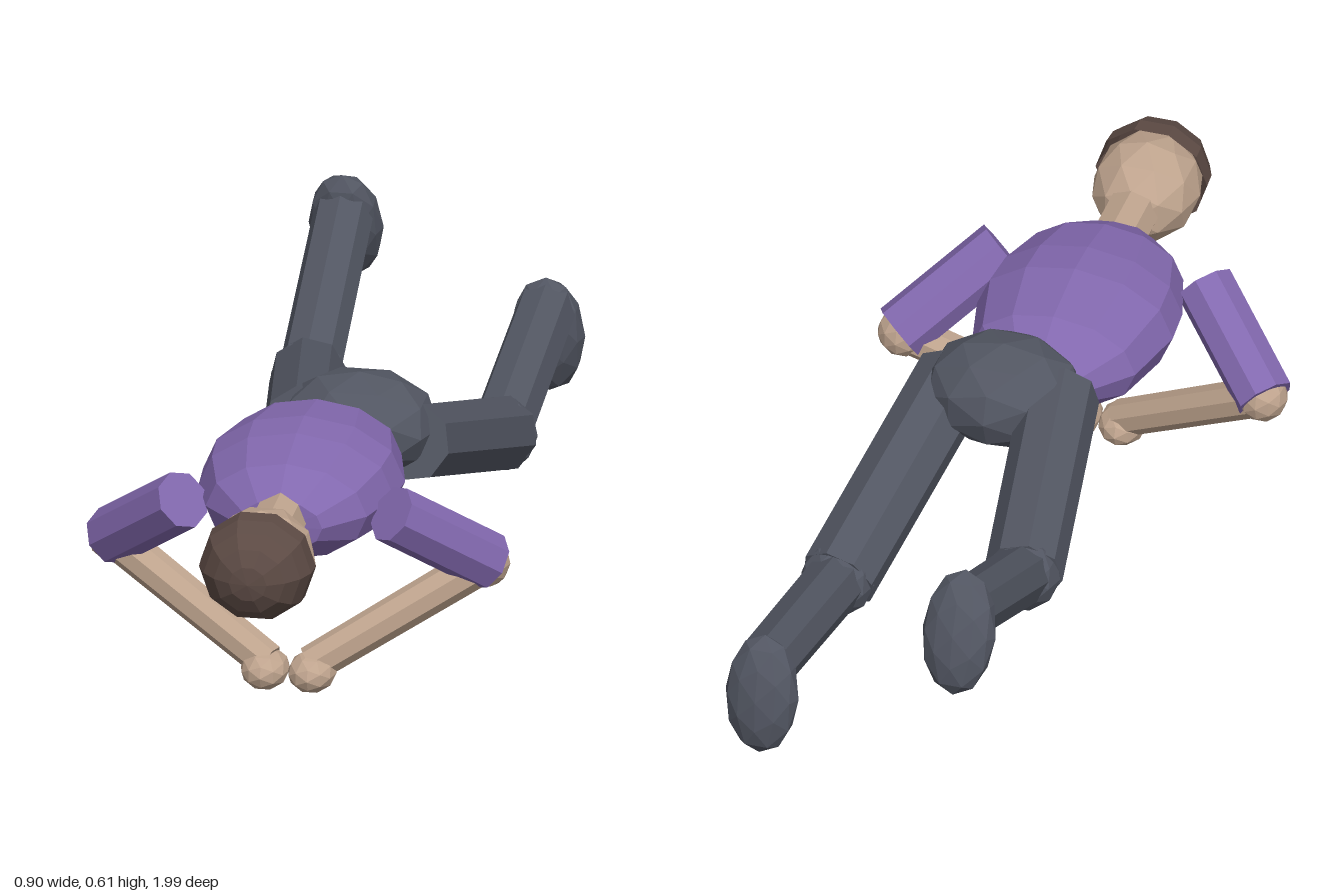
import * as THREE from 'three';

const mat = (name, color) => {
  const m = new THREE.MeshStandardMaterial({ color, flatShading: true });
  m.name = name;
  return m;
};

export function createModel() {
  const model = new THREE.Group();
  model.name = 'proneFigure';
  const skin = mat('skin', 0xbfa48e);
  const shirt = mat('purple shirt', 0x8268ae);
  const trousers = mat('dark grey trousers', 0x525662);
  const hairColor = mat('brown hair', 0x5c4a44);
  const eyeColor = mat('dark eyes', 0x33261f);

  const add = (name, geometry, material) => {
    const mesh = new THREE.Mesh(geometry, material);
    mesh.name = name;
    model.add(mesh);
    return mesh;
  };

  // Faceted ellipsoid with given centre and radii
  const ball = (name, material, center, radii, tiltX = 0) => {
    const geometry = new THREE.IcosahedronGeometry(1, 1).scale(...radii);
    const mesh = add(name, geometry, material);
    mesh.position.set(...center);
    mesh.rotation.x = tiltX;
    return mesh;
  };

  // Straight faceted limb between two points
  const limb = (name, material, from, to, r0, r1 = r0) => {
    const a = new THREE.Vector3(...from);
    const b = new THREE.Vector3(...to);
    const mesh = add(name, new THREE.CylinderGeometry(r1, r0, a.distanceTo(b), 8), material);
    mesh.position.copy(a).add(b).multiplyScalar(0.5);
    mesh.quaternion.setFromUnitVectors(new THREE.Vector3(0, 1, 0), b.sub(a).normalize());
    return mesh;
  };

  // Torso: rounded barrel lying along z, flattened in height
  const profile = [[0, 0.07], [0.10, 0.09], [0.18, 0.18], [0.215, 0.33], [0.208, 0.42],
    [0.172, 0.54], [0.092, 0.625], [0, 0.632]].map(([r, z]) => new THREE.Vector2(r, z));
  const torso = new THREE.LatheGeometry(profile, 12).rotateX(Math.PI / 2).scale(1, 0.62, 1);
  add('torso', torso, shirt).position.y = 0.412;

  // Head, neck and hair; the face looks down
  limb('neck', skin, [0, 0.422, 0.58], [0, 0.422, 0.75], 0.058);
  ball('head', skin, [0, 0.418, 0.835], [0.116, 0.112, 0.135]);
  const cap = new THREE.SphereGeometry(0.123, 10, 5, 0, Math.PI * 2, 0, Math.PI * 0.53);
  cap.rotateX(Math.PI / 2).scale(1, 0.96, 1);
  add('hair', cap, hairColor).position.set(0, 0.424, 0.875);
  hairColor.side = THREE.DoubleSide;

  // Hips
  ball('hips', trousers, [0.065, 0.42, 0.04], [0.17, 0.115, 0.145]);

  // Mirrored eyes and arms
  for (const [side, s] of [['left', 1], ['right', -1]]) {
    ball(side + 'Eye', eyeColor, [s * 0.042, 0.316, 0.845], [0.013, 0.009, 0.013]);
    const elbow = [s * 0.395, 0.265, 0.385];
    limb(side + 'Sleeve', shirt, [s * 0.222, 0.418, 0.53], [s * 0.402, 0.265, 0.38], 0.063);
    ball(side + 'Elbow', skin, elbow, [0.054, 0.054, 0.054]);
    limb(side + 'Forearm', skin, elbow, [s * 0.045, 0.055, 0.505], 0.043, 0.04);
    ball(side + 'Hand', skin, [s * 0.05, 0.043, 0.51], [0.052, 0.043, 0.066]);
  }

  // Legs, each with its own pose
  const legs = [
    { side: 'left', hip: [0.185, 0.4, 0.08], knee: [0.275, 0.217, -0.45],
      ankle: [0.287, 0.312, -0.93], foot: [0.287, 0.25, -0.94], tilt: 0.16 },
    { side: 'right', hip: [-0.053, 0.415, 0.06], knee: [-0.133, 0.318, -0.45],
      ankle: [-0.138, 0.515, -0.89], foot: [-0.137, 0.478, -0.912], tilt: 0.35 },
  ];
  for (const { side, hip, knee, ankle, foot, tilt } of legs) {
    limb(side + 'Thigh', trousers, hip, knee, 0.083);
    ball(side + 'Knee', trousers, knee, [0.08, 0.08, 0.08]);
    limb(side + 'Shin', trousers, knee, ankle, 0.066, 0.064);
    ball(side + 'Foot', trousers, foot, [0.08, 0.137, 0.053], tilt);
  }
  return model;
}
